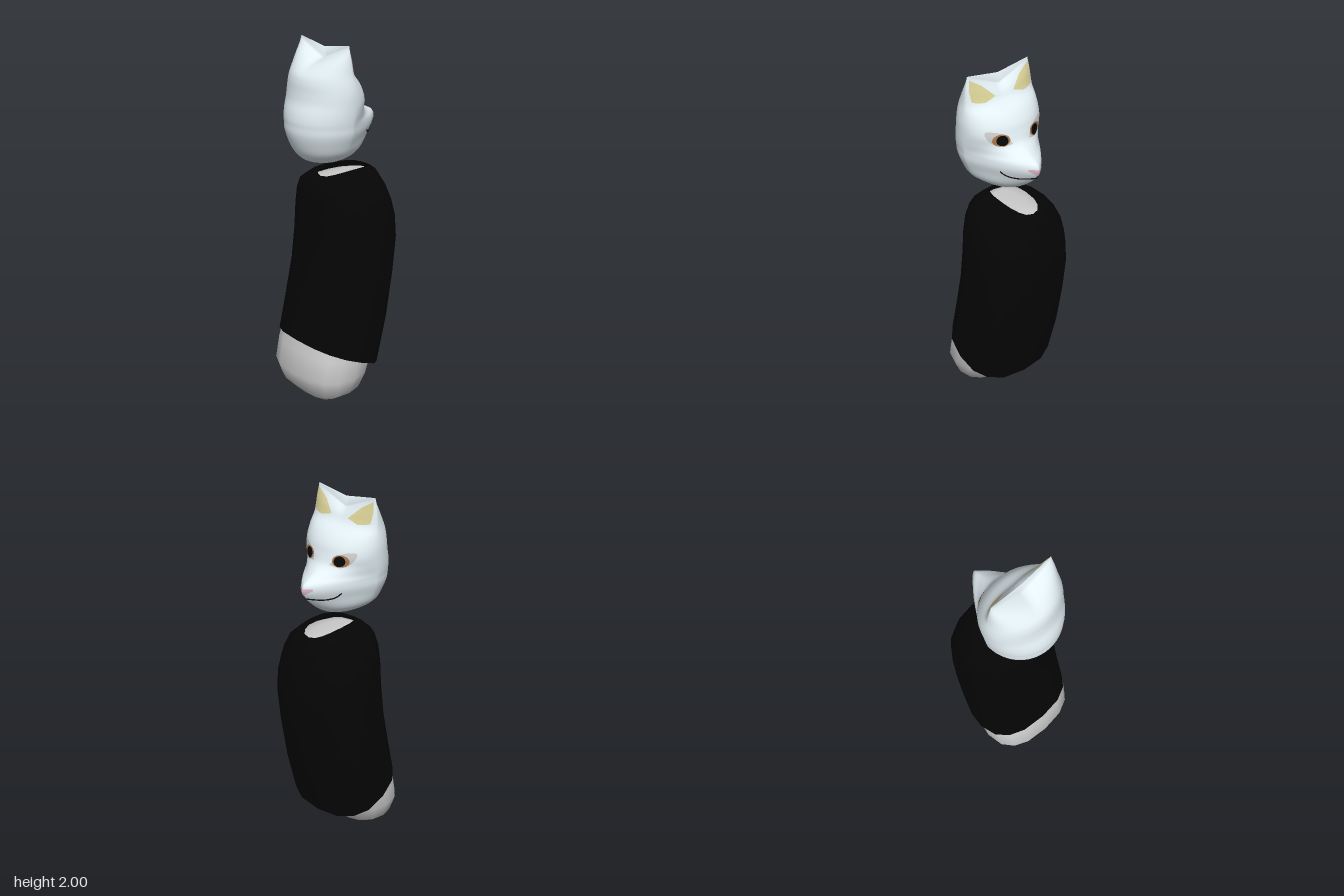
import * as THREE from 'three';

const spow = (v, e) => Math.sign(v) * Math.abs(v) ** e;

// Skin a stack of closed rings (bottom to top); the ends can be capped
function loft(rings, capBottom, capTop) {
  const n = rings[0].length, pos = rings.flat().flatMap((p) => p.toArray()), idx = [];
  for (let i = 0; i < rings.length - 1; i++) {
    for (let j = 0; j < n; j++) {
      const k = (j + 1) % n;
      const a = i * n + j, b = i * n + k, c = a + n, d = b + n;
      idx.push(a, c, b, b, c, d);
    }
  }
  const cap = (row, top) => {
    const centre = new THREE.Vector3();
    rings[row].forEach((p) => centre.addScaledVector(p, 1 / n));
    const m = pos.length / 3;
    pos.push(...centre.toArray());
    for (let j = 0; j < n; j++) {
      const a = row * n + j, b = row * n + ((j + 1) % n);
      idx.push(m, top ? b : a, top ? a : b);
    }
  };
  if (capBottom) cap(0, false);
  if (capTop) cap(rings.length - 1, true);
  const g = new THREE.BufferGeometry();
  g.setAttribute('position', new THREE.Float32BufferAttribute(pos, 3));
  g.setIndex(idx);
  g.computeVertexNormals();
  return g;
}

// Tilted, slightly square body section from its back and front points
function bodyRing([bx, by, fx, fy, w, bulge = 0]) {
  return Array.from({ length: 16 }, (_, j) => {
    const t = (j / 16) * Math.PI * 2;
    const c = spow(Math.cos(t), 0.8), s = spow(Math.sin(t), 0.8);
    return new THREE.Vector3(
      (bx + fx) / 2 + ((fx - bx) / 2) * c,
      (by + fy) / 2 + ((fy - by) / 2) * c + bulge * s * s,
      w * s);
  });
}

// Head section: round behind, tapering to the snout in front, sides lifted into ears
function headRing([y, back, front, w, e, lift]) {
  const cx = -0.07, n = 48;
  return Array.from({ length: n }, (_, j) => {
    const t = (j / n) * Math.PI * 2, c = Math.cos(t), s = Math.sin(t);
    const p = c > 1e-6 ? e : 1;
    const x = c > 0 ? cx + (front - cx) * spow(c, p) : cx + (cx - back) * c;
    const side = spow(s, p);
    return new THREE.Vector3(x, y + lift * Math.abs(side), w * side);
  });
}

// Smooth rows of numbers by inserting cubic in-between rows
function refine(rows, steps) {
  const out = [];
  for (let i = 0; i < rows.length - 1; i++) {
    const [a, b, c, d] = [-1, 0, 1, 2].map((o) => rows[Math.min(Math.max(i + o, 0), rows.length - 1)]);
    for (let s = 0; s < steps; s++) {
      const t = s / steps;
      out.push(b.map((v, k) => v + 0.5 * t * (c[k] - a[k]
        + t * (2 * a[k] - 5 * v + 4 * c[k] - d[k] + t * (3 * (v - c[k]) + d[k] - a[k])))));
    }
  }
  out.push(rows[rows.length - 1]);
  return out;
}

export function createModel() {
  const model = new THREE.Group();
  const add = (name, geometry, color, side = THREE.FrontSide) => {
    const mesh = new THREE.Mesh(geometry, new THREE.MeshStandardMaterial({ color, side }));
    mesh.name = name;
    model.add(mesh);
    return mesh;
  };

  // Robe: back x, back y, front x, front y, half width, side bulge
  const robe = [
    [-0.28, 0.385, 0.17, 0.18, 0.29], [-0.235, 0.58, 0.24, 0.45, 0.288],
    [-0.19, 0.78, 0.285, 0.72, 0.285], [-0.172, 0.95, 0.31, 0.92, 0.28],
    [-0.165, 1.1, 0.303, 1.04, 0.272], [-0.163, 1.19, 0.285, 1.13, 0.252],
    [-0.16, 1.25, 0.262, 1.215, 0.215], [-0.13, 1.282, 0.24, 1.275, 0.14, 0.015],
    [-0.1, 1.29, 0.225, 1.29, 0.08, 0.02],
  ];
  add('robe', loft(robe.map(bodyRing)), 0x050505, THREE.DoubleSide);

  // Body: rounded foot, then the robe sections drawn inwards
  const foot = [
    [-0.17, 0.005, -0.08, 0.012, 0.07], [-0.22, 0.035, -0.01, 0.05, 0.17],
    [-0.275, 0.09, 0.05, 0.11, 0.25], [-0.31, 0.19, 0.1, 0.2, 0.28],
    [-0.285, 0.32, 0.125, 0.26, 0.28],
  ];
  const inner = robe.slice(1).map(([bx, by, fx, fy, w]) =>
    [bx + 0.015, by - 0.015, fx - 0.015, fy - 0.015, w - 0.015]);
  add('body', loft([...foot, ...inner].map(bodyRing), true, true), 0xcccccc);

  // Mask: y, back x, front x, half width, taper, ear lift
  const mask = add('mask', loft(refine([
    [1.372, -0.085, -0.03, 0.02, 1, 0], [1.376, -0.13, 0.04, 0.06, 1, 0],
    [1.396, -0.195, 0.1, 0.11, 1.1, 0], [1.44, -0.238, 0.165, 0.165, 1.3, 0],
    [1.5, -0.265, 0.23, 0.195, 1.55, 0], [1.55, -0.278, 0.262, 0.213, 1.6, 0],
    [1.59, -0.278, 0.255, 0.218, 1.6, 0], [1.62, -0.277, 0.2, 0.222, 1.5, 0],
    [1.66, -0.268, 0.135, 0.225, 1.2, 0], [1.71, -0.25, 0.11, 0.226, 1, 0],
    [1.76, -0.24, 0.092, 0.225, 1, 0], [1.81, -0.232, 0.055, 0.218, 1, 0],
    [1.85, -0.212, 0, 0.208, 1, 0.01], [1.89, -0.155, -0.03, 0.198, 1, 0.045],
    [1.92, -0.072, -0.066, 0.185, 1, 0.08],
  ], 4).map(headRing), true, true), 0xe3eff4);

  // Points on the mask's face, found by casting from the front
  mask.updateMatrixWorld(true);
  const ray = new THREE.Raycaster();
  const onFace = (z, y, off) => {
    ray.set(new THREE.Vector3(2, y, z), new THREE.Vector3(-1, 0, 0));
    const hit = ray.intersectObject(mask)[0];
    return new THREE.Vector3((hit ? hit.point.x : -0.07) + off, y, z);
  };
  // Thin patch hugging the face, from an outline of [z, y] points
  const patch = (name, outline, color, off) => {
    const cz = outline.reduce((s, p) => s + p[0], 0) / outline.length;
    const cy = outline.reduce((s, p) => s + p[1], 0) / outline.length;
    const rings = [1, 0.75, 0.5, 0.25, 0.01].map((k) =>
      outline.map(([z, y]) => onFace(cz + (z - cz) * k, cy + (y - cy) * k, off)));
    add(name, loft(rings), color, THREE.DoubleSide);
  };
  const smooth = (pts, n) => new THREE.SplineCurve(pts.map(([z, y]) => new THREE.Vector2(z, y)))
    .getSpacedPoints(n).map((p) => [p.x, p.y]);
  const disc = (z, y, rz, ry) => Array.from({ length: 20 }, (_, i) =>
    [z + rz * Math.cos(i * Math.PI / 10), y + ry * Math.sin(i * Math.PI / 10)]);

  for (const [s, label] of [[1, 'left'], [-1, 'right']]) {
    const flip = (pts) => pts.map(([z, y]) => [s * z, y]);
    // Inner ear
    const ear = [[0.178, 1.98], [0.188, 1.93], [0.182, 1.872], [0.12, 1.862], [0.055, 1.88], [0.115, 1.94]];
    patch(`${label}InnerEar`, flip(ear.flatMap((p, i) => {
      const q = ear[(i + 1) % ear.length];
      return [0, 0.33, 0.67].map((t) => [p[0] + (q[0] - p[0]) * t, p[1] + (q[1] - p[1]) * t]);
    })), 0xd8d096, 0.004);
    // Eye: slanted almond, iris and pupil
    patch(`${label}Eye`, flip(smooth([[0.05, 1.672], [0.075, 1.708], [0.115, 1.735], [0.17, 1.738],
      [0.155, 1.69], [0.11, 1.662], [0.05, 1.672]], 24).slice(0, 24)), 0xf4f4f4, 0.003);
    patch(`${label}Iris`, flip(disc(0.103, 1.696, 0.042, 0.031)), 0xa8764c, 0.005);
    patch(`${label}Pupil`, flip(disc(0.1, 1.695, 0.028, 0.027)), 0x080808, 0.007);
  }

  // Nose
  patch('nose', smooth([[0, 1.535], [0.025, 1.55], [0.045, 1.57], [0, 1.572], [-0.045, 1.57],
    [-0.025, 1.55], [0, 1.535]], 20).slice(0, 20), 0xdcb4c6, 0.004);

  // Smiling mouth line
  const smile = smooth([[0.125, 1.535], [0.1, 1.51], [0.06, 1.502], [0, 1.512],
    [-0.06, 1.502], [-0.1, 1.51], [-0.125, 1.535]], 30).map(([z, y]) => onFace(z, y, 0.001));
  add('mouth', new THREE.TubeGeometry(new THREE.CatmullRomCurve3(smile), 60, 0.004, 6), 0x101010);

  return model;
}
